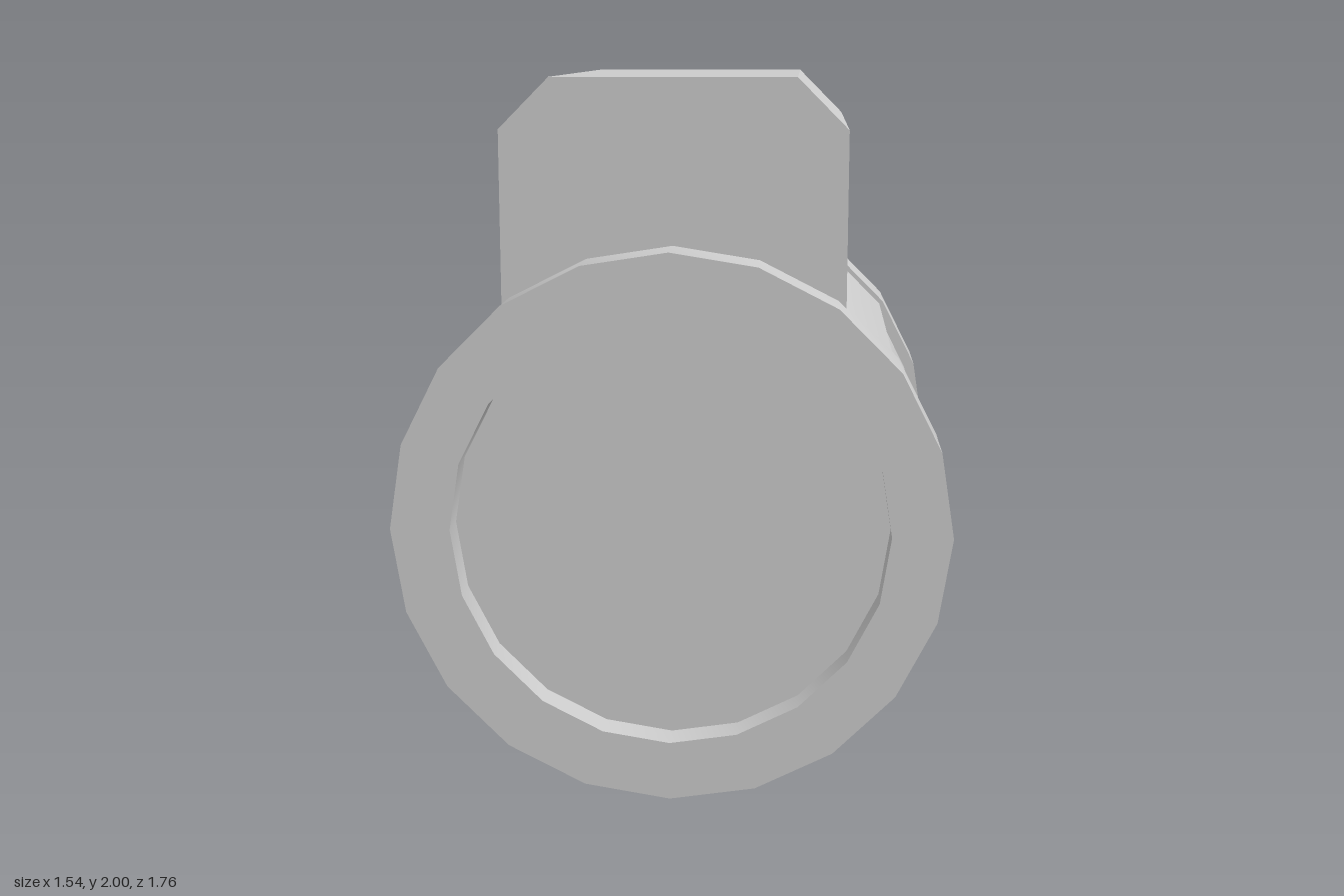
import * as THREE from 'three';
import { toCreasedNormals } from 'three/addons/utils/BufferGeometryUtils.js';

const SIDES = 20;
const AXIS_Y = 0.776;
const deg = THREE.MathUtils.degToRad;

export function createModel() {
  const model = new THREE.Group();
  const grey = new THREE.MeshStandardMaterial({ color: 0xcccccc });
  const greyThin = new THREE.MeshStandardMaterial({ color: 0xcccccc, side: THREE.DoubleSide });

  const add = (name, geometry, material = grey, y = AXIS_Y, z = 0) => {
    const mesh = new THREE.Mesh(geometry, material);
    mesh.name = name;
    mesh.position.set(0, y, z);
    model.add(mesh);
    return mesh;
  };

  // End rings: square section turned about the motor axis
  const ring = (name, z0, z1) => {
    const R = 0.771, r = 0.605;
    const profile = [[R, z0], [R, z1], [r, z1], [r, z0], [R, z0]].map(p => new THREE.Vector2(...p));
    const geometry = new THREE.LatheGeometry(profile, SIDES).rotateX(Math.PI / 2);
    add(name, toCreasedNormals(geometry, 0.5));
  };
  ring('frontRing', 0.65, 0.88);
  ring('backRing', -0.67, -0.435);

  // Body shell: full radius, with a slightly recessed quarter on the left side
  const zFront = 0.65, zBack = -0.435;
  const length = zFront - zBack, middle = (zFront + zBack) / 2;
  const shell = (name, radius, from, sweep) => add(
    name,
    new THREE.CylinderGeometry(radius, radius, length, sweep / 18, 1, true, deg(from + 90), deg(sweep))
      .rotateX(Math.PI / 2),
    greyThin, AXIS_Y, middle);
  shell('bodyShell', 0.757, 36, 270);
  shell('recessedPanel', 0.737, -54, 90);

  // Narrow steps where the recessed panel meets the shell
  for (const angle of [36, -54]) {
    const step = new THREE.PlaneGeometry(0.02, length).rotateX(Math.PI / 2)
      .translate(0.747, 0, 0).rotateZ(deg(angle));
    add('panelStep', step, greyThin, AXIS_Y, middle);
  }

  // End covers, all turned so a corner points straight up
  const cover = (name, radius, z) => add(
    name, new THREE.CircleGeometry(radius, SIDES), greyThin, AXIS_Y, z);
  cover('frontCover', 0.605, 0.79);
  cover('backInnerCover', 0.605, -0.6);
  cover('backCover', 0.59, -0.74);

  // Output shaft
  add('shaft', new THREE.CylinderGeometry(0.057, 0.057, 0.28, 24).rotateX(Math.PI / 2),
    grey, AXIS_Y, -0.74);

  // Terminal box with chamfered upper edges
  const outline = new THREE.Shape([
    [-0.475, 1.3], [0.475, 1.3], [0.475, 1.86], [0.335, 2], [-0.335, 2], [-0.475, 1.86],
  ].map(p => new THREE.Vector2(...p)));
  add('terminalBox', new THREE.ExtrudeGeometry(outline, { depth: 1.245, bevelEnabled: false }),
    grey, 0, -0.52);

  return model;
}
